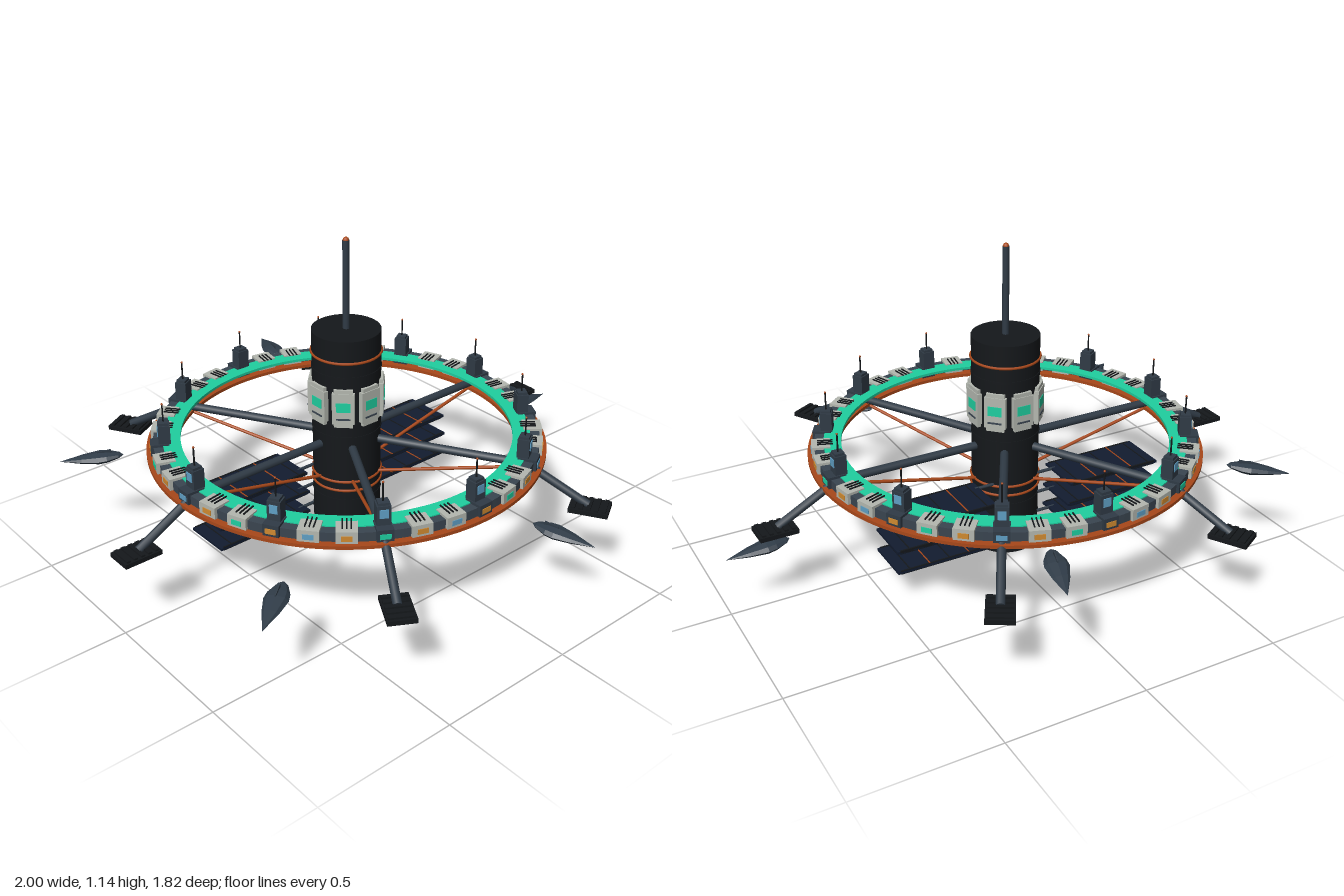
import * as THREE from 'three';

const mat = (color, extra = {}) => new THREE.MeshStandardMaterial({ color, ...extra });

export function createModel() {
  const root = new THREE.Group();
  root.name = 'station';
  root.position.x = -0.055;

  const black = mat(0x15181b), steel = mat(0x303b46), slate = mat(0x3a4550);
  const orange = mat(0xa8481a), green = mat(0x1fcfa0), light = mat(0xb4b8b0);
  const amber = mat(0xd08a30), blue = mat(0x5f9fc4), navy = mat(0x121c30);
  const hull = mat(0x303c48, { flatShading: true });

  const add = (parent, name, geo, m, x = 0, y = 0, z = 0) => {
    const mesh = new THREE.Mesh(geo, m);
    mesh.name = name;
    mesh.position.set(x, y, z);
    parent.add(mesh);
    return mesh;
  };
  const box = (w, h, d) => new THREE.BoxGeometry(w, h, d);
  const cyl = (r, h, n = 32) => new THREE.CylinderGeometry(r, r, h, n);

  // Round bar between two points
  const rod = (parent, name, a, b, r, m) => {
    const p = new THREE.Vector3(...a), q = new THREE.Vector3(...b);
    const mesh = add(parent, name, cyl(r, p.distanceTo(q), 10), m);
    mesh.position.copy(p).add(q).multiplyScalar(0.5);
    mesh.quaternion.setFromUnitVectors(new THREE.Vector3(0, 1, 0), q.sub(p).normalize());
    return mesh;
  };

  // Groups spread around the hub, local +x pointing outward
  const around = (name, count, build) => {
    for (let i = 0; i < count; i++) {
      const g = new THREE.Group();
      g.name = name;
      g.rotation.y = -i * Math.PI * 2 / count;
      root.add(g);
      build(g, i);
    }
  };

  // Flat ring with rectangular section
  const band = (name, r0, r1, y0, y1, m) => {
    const shape = new THREE.Shape().absarc(0, 0, r1, 0, Math.PI * 2, false);
    shape.holes.push(new THREE.Path().absarc(0, 0, r0, 0, Math.PI * 2, true));
    const geo = new THREE.ExtrudeGeometry(shape, { depth: y1 - y0, bevelEnabled: false, curveSegments: 72 });
    geo.rotateX(-Math.PI / 2);
    return add(root, name, geo, m, 0, y0, 0);
  };

  // Central hub with trim rings and mast
  add(root, 'hub', cyl(0.121, 0.815), black, 0, 0.4075, 0);
  for (const y of [0.04, 0.24, 0.275, 0.735]) {
    const trim = add(root, 'hubTrim', new THREE.TorusGeometry(0.122, 0.005, 6, 48), orange, 0, y, 0);
    trim.rotation.x = Math.PI / 2;
  }
  for (const y of [0.12, 0.2, 0.45, 0.68]) add(root, 'hubSeam', cyl(0.123, 0.008), black, 0, y, 0);
  add(root, 'mast', cyl(0.012, 0.32, 12), steel, 0, 0.972, 0);
  add(root, 'mastTip', new THREE.SphereGeometry(0.011, 12, 8), orange, 0, 1.132, 0);

  // Habitat modules around the hub
  around('hubModule', 8, g => {
    add(g, 'moduleShell', box(0.03, 0.115, 0.078), light, 0.117, 0.568, 0);
    add(g, 'moduleCap', box(0.024, 0.143, 0.066), light, 0.117, 0.568, 0);
    add(g, 'moduleWindow', box(0.006, 0.035, 0.05), green, 0.131, 0.575, 0);
    add(g, 'moduleVent', box(0.004, 0.006, 0.05), slate, 0.1325, 0.53, 0);
  });

  // Main ring
  band('ringFloor', 0.60, 0.705, 0.386, 0.398, orange);
  band('ringWall', 0.635, 0.68, 0.398, 0.43, slate);
  band('ringDeck', 0.585, 0.647, 0.424, 0.434, green);

  // Ring modules: every third one is a dark bay carrying a turret
  around('ringModule', 36, (g, i) => {
    const bay = i % 3 === 0;
    add(g, 'cabin', box(0.066, 0.042, bay ? 0.055 : 0.07), bay ? steel : light, 0.657, 0.418, 0);
    add(g, 'cabinWindow', box(0.005, 0.018, 0.036), i % 2 ? amber : i % 4 ? blue : green, 0.690, 0.416, 0);
    if (!bay) {
      for (const z of [-0.014, 0, 0.014]) add(g, 'roofVent', box(0.055, 0.004, 0.004), black, 0.642, 0.441, z);
      return;
    }
    add(g, 'turret', box(0.042, 0.07, 0.046), steel, 0.64, 0.472, 0);
    add(g, 'turretCap', box(0.034, 0.01, 0.036), steel, 0.64, 0.511, 0);
    add(g, 'turretWindow', box(0.004, 0.03, 0.028), blue, 0.662, 0.48, 0);
    add(g, 'aerial', cyl(0.003, 0.07, 6), black, 0.64, 0.548, 0);
    add(g, 'aerialTip', new THREE.SphereGeometry(0.004, 8, 6), orange, 0.64, 0.582, 0);
  });

  // Spokes, braces and docking pads
  around('spokeArm', 6, g => {
    rod(g, 'spoke', [0.1, 0.408, 0], [0.65, 0.408, 0], 0.015, steel);
    rod(g, 'brace', [0.11, 0.275, 0], [0.62, 0.39, 0], 0.006, orange);
    rod(g, 'outerLeg', [0.65, 0.408, 0], [0.87, 0.29, 0], 0.015, steel);
    add(g, 'pad', box(0.135, 0.016, 0.094), black, 0.877, 0.281, 0);
    for (let k = -2; k <= 2; k++) add(g, 'padRib', box(0.014, 0.007, 0.084), black, 0.877 + k * 0.026, 0.292, 0);
  });

  // Solar panels in three tiers behind the hub
  for (const side of [-1, 1]) {
    [0.12, 0.2, 0.28].forEach((y, tier) => {
      const g = new THREE.Group();
      g.name = 'solarPanel';
      g.position.set(side * 0.335, y, -0.127);
      root.add(g);
      const w = tier === 2 ? 0.37 : 0.39;
      add(g, 'panel', box(w, 0.009, 0.176), navy);
      for (let k = -2; k <= 2; k++) add(g, 'panelRib', box(0.004, 0.003, 0.172), k % 2 ? orange : black, k * 0.075, 0.005, 0);
      for (const z of [-1, 1]) add(g, 'panelRail', box(w - 0.02, 0.013, 0.006), black, 0, 0, z * 0.085);
      rod(g, 'panelArm', [-side * 0.27, 0, 0.05], [-side * 0.17, 0, 0.05], 0.006, steel);
    });
  }

  // Small craft approaching the ring, slender tail outward
  const profile = [[0, -0.105], [0.018, -0.09], [0.036, -0.05], [0.04, -0.02], [0.027, 0.04], [0, 0.12]];
  const craftGeo = new THREE.LatheGeometry(profile.map(p => new THREE.Vector2(...p)), 8);
  craftGeo.rotateZ(-Math.PI / 2);
  craftGeo.scale(1, 0.45, 1);
  const reach = [0.935, 0.835, 0.895, 0.895, 0.835];
  around('smallCraft', 5, (g, i) => {
    const craft = add(g, 'craftHull', craftGeo, hull, reach[i], 0.225 + i * 0.04, 0);
    craft.rotation.z = -0.09;
    const fin = add(craft, 'craftFin', box(0.05, 0.02, 0.004), steel, -0.04, 0.014, 0);
    fin.rotation.z = -0.1;
  });

  const model = new THREE.Group();
  model.name = 'spaceStation';
  model.add(root);
  return model;
}
